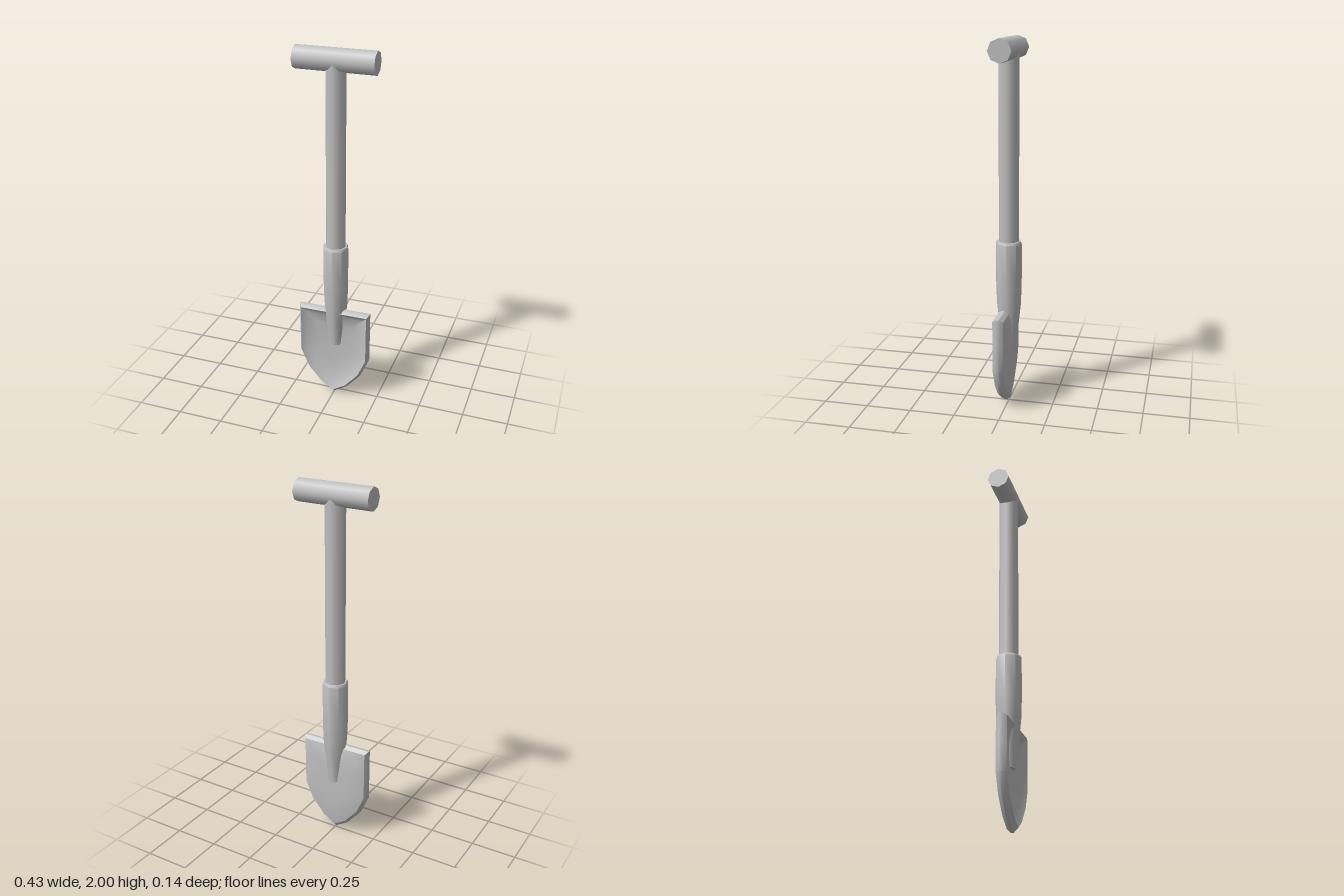
import * as THREE from 'three';
import { toCreasedNormals } from 'three/addons/utils/BufferGeometryUtils.js';

export function createModel() {
  const model = new THREE.Group();
  const grey = new THREE.MeshStandardMaterial({ color: 0xc0c0c0 });
  grey.name = 'grey metal';

  const add = (name, geometry) => {
    const mesh = new THREE.Mesh(geometry, grey);
    mesh.name = name;
    model.add(mesh);
    return mesh;
  };

  // Crossbar grip, eight sided
  const grip = add('grip', new THREE.CylinderGeometry(0.061, 0.061, 0.426, 8));
  grip.rotation.z = Math.PI / 2;
  grip.position.y = 1.939;

  // Long shaft, running into the grip and the socket
  const shaft = add('shaft', new THREE.CylinderGeometry(0.055, 0.055, 1.05, 8));
  shaft.position.y = 1.4;

  // Socket that tapers down onto the blade
  const profile = [[0, 0.32], [0.037, 0.32], [0.05, 0.42], [0.067, 0.58], [0.071, 0.7], [0.071, 0.92], [0.065, 0.932], [0, 0.932]]
    .map(([r, y]) => new THREE.Vector2(r, y));
  add('socket', toCreasedNormals(new THREE.LatheGeometry(profile, 8), 0.87));

  add('blade', bladeGeometry());
  return model;
}

// Dished blade: its outline is scaled into rings from the front centre, over the rim, to the back centre
function bladeGeometry() {
  const half = [[0.075, 0.047], [0.155, 0.14], [0.203, 0.25], [0.204, 0.4], [0.204, 0.55]];
  const outline = [[0, 0], ...half, [0.07, 0.55], [-0.07, 0.55], ...half.map(([x, y]) => [-x, y]).reverse()];
  const rings = [[0, 0.012], [0.5, 0.015], [0.8, 0.026], [0.935, 0.047], [1, 0.025], [1, 0.01],
    [0.93, -0.011], [0.75, -0.021], [0.45, -0.025], [0, -0.026]];
  const centreY = 0.33, n = outline.length, positions = [], index = [];

  for (const [s, z] of rings) {
    for (const [x, y] of outline) positions.push(x * s, centreY + (y - centreY) * s, z);
  }
  for (let k = 0; k < rings.length - 1; k++) {
    for (let i = 0; i < n; i++) {
      const a = k * n + i, b = k * n + (i + 1) % n;
      if (rings[k + 1][0] > 0) index.push(a, a + n, b + n);
      if (rings[k][0] > 0) index.push(a, b + n, b);
    }
  }
  const geometry = new THREE.BufferGeometry();
  geometry.setAttribute('position', new THREE.Float32BufferAttribute(positions, 3));
  geometry.setIndex(index);
  return toCreasedNormals(geometry, 0.6);
}
